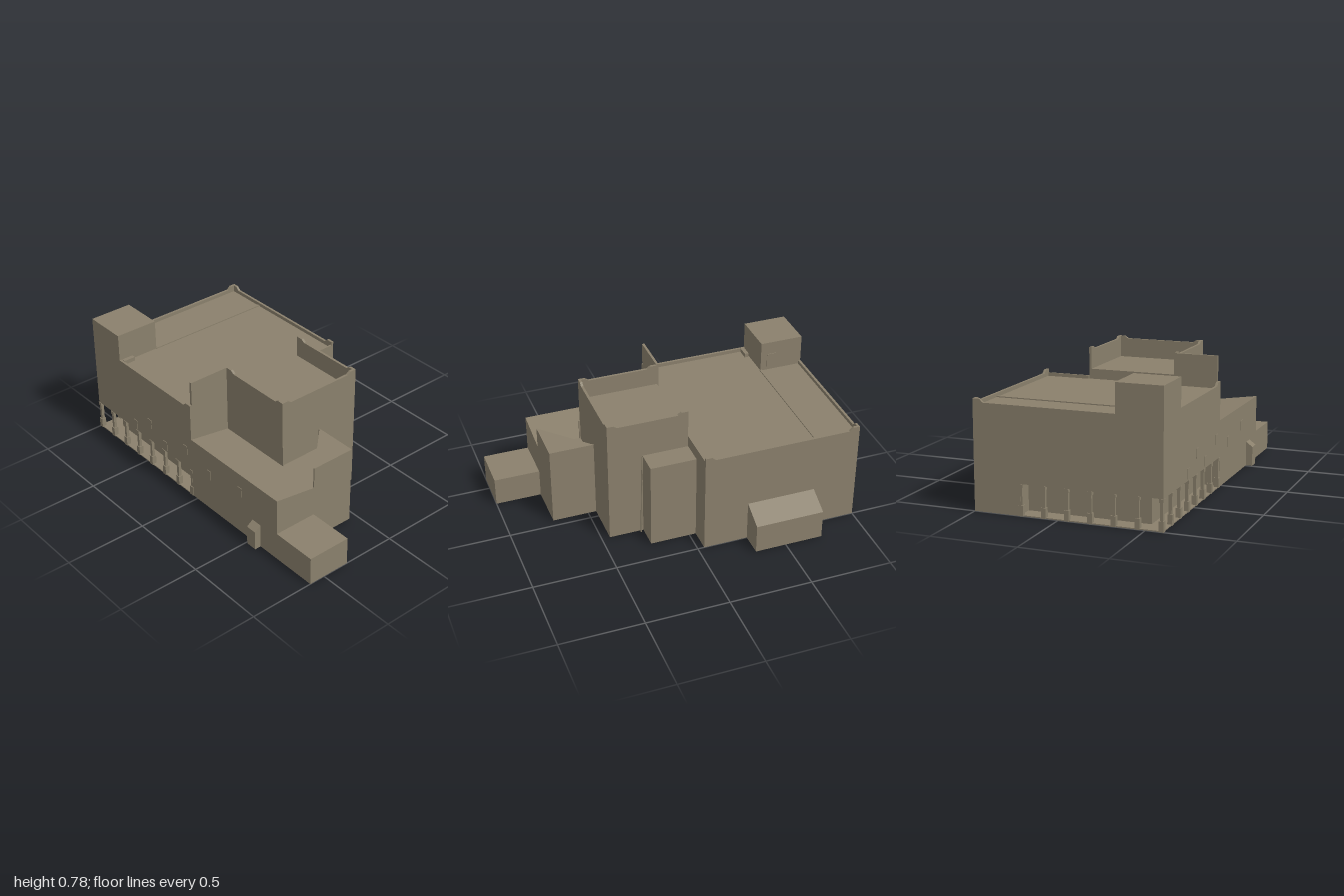
import * as THREE from 'three';

export function createModel() {
  const group = new THREE.Group();
  const stone = new THREE.MeshStandardMaterial({ color: 0x8a806c, side: THREE.DoubleSide });
  stone.name = 'stone';

  const add = (name, geometry) => {
    const mesh = new THREE.Mesh(geometry, stone);
    mesh.name = name;
    group.add(mesh);
    return mesh;
  };

  // Solid block between two corners
  const block = (name, x0, x1, y0, y1, z0, z1) =>
    add(name, new THREE.BoxGeometry(x1 - x0, y1 - y0, z1 - z0)
      .translate((x0 + x1) / 2, (y0 + y1) / 2, (z0 + z1) / 2));

  // Hollow block open below, its top sloping from yA at x0 to yB at x1
  const shell = (name, x0, x1, yA, yB, z0, z1) => {
    const g = new THREE.BoxGeometry(x1 - x0, 1, z1 - z0);
    const index = Array.from(g.index.array);
    index.splice(18, 6);
    g.setIndex(index);
    g.clearGroups();
    const p = g.attributes.position;
    for (let i = 0; i < p.count; i++) {
      p.setY(i, p.getY(i) < 0 ? 0 : p.getX(i) < 0 ? yA : yB);
    }
    g.translate((x0 + x1) / 2, 0, (z0 + z1) / 2);
    g.computeVertexNormals();
    return add(name, g);
  };

  // Thin wall with raised, chamfered ends; runs along x, or along z when alongZ
  const parapet = (name, a, b, y0, y1, peak, at, alongZ, endA = true, endB = true) => {
    const t = 0.015, w = 0.04, c = 0.022;
    const pts = [[a, y0], [b, y0]];
    if (endB) pts.push([b, peak], [b - w, peak], [b - w - c, y1]);
    else pts.push([b, y1]);
    if (endA) pts.push([a + w + c, y1], [a + w, peak], [a, peak]);
    else pts.push([a, y1]);
    const shape = new THREE.Shape(pts.map(([x, y]) => new THREE.Vector2(x, y)));
    const g = new THREE.ExtrudeGeometry(shape, { depth: t, bevelEnabled: false });
    g.translate(0, 0, -t / 2);
    if (alongZ) g.rotateY(-Math.PI / 2).translate(at, 0, 0);
    else g.translate(0, 0, at);
    return add(name, g);
  };

  // Main hall: upper storey over a recessed ground floor
  block('mainHall', -0.6, 0.5, 0.18, 0.59, -1, -0.04);
  block('groundFloor', -0.5, 0.5, 0, 0.18, -0.9, -0.04);
  block('groundFloorCorner', 0.22, 0.5, 0, 0.18, -1, -0.9);
  block('arcadeFloor', -0.6, 0.5, 0, 0.006, -1, -0.04);
  block('roofStep', -0.33, 0.485, 0.59, 0.596, -0.74, -0.725);
  block('roofBox', -0.585, -0.51, 0.59, 0.615, -0.725, -0.7);

  // Main roof parapets
  parapet('rightParapet', -1, -0.04, 0.585, 0.612, 0.632, 0.4925, true);
  parapet('backParapet', -0.33, 0.5, 0.585, 0.612, 0.632, -0.9925, false, false, true);
  parapet('sideParapet', -0.73, -0.04, 0.585, 0.612, 0.632, -0.5925, true, false, true);
  block('frontParapet', 0.22, 0.5, 0.585, 0.61, -0.05, -0.04);

  // Arcade columns along the back and the -x side
  const column = (x, z) => {
    block('columnBase', x - 0.014, x + 0.014, 0, 0.06, z - 0.014, z + 0.014);
    block('columnShaft', x - 0.009, x + 0.009, 0.06, 0.16, z - 0.009, z + 0.009);
    block('columnCap', x - 0.013, x + 0.013, 0.16, 0.18, z - 0.013, z + 0.013);
  };
  for (let i = 0; i < 7; i++) column(-0.59 + i * 0.135, -0.99);
  for (let i = 1; i < 8; i++) column(-0.59, -0.99 + i * 0.134);

  // Corner turret with its roof door
  block('cornerTurret', -0.6, -0.33, 0.59, 0.78, -1, -0.73);
  block('turretDoor', -0.33, -0.326, 0.6, 0.7, -0.83, -0.77);

  // Front tower and its parapet
  shell('frontTower', -0.33, 0.22, 0.65, 0.65, -0.04, 0.45);
  parapet('towerFrontParapet', -0.33, 0.22, 0.65, 0.765, 0.78, 0.4425, false);
  parapet('towerRightParapet', -0.04, 0.45, 0.65, 0.765, 0.78, 0.2125, true);
  parapet('towerLeftParapet', -0.04, 0.45, 0.65, 0.765, 0.78, -0.3225, true);
  block('screenWall', -0.585, -0.33, 0.59, 0.78, -0.055, -0.04);

  // Long side wing, low porch and buttress
  shell('sideWing', -0.6, -0.33, 0.4, 0.36, -0.04, 0.72);
  shell('lowPorch', -0.6, -0.33, 0.175, 0.175, 0.72, 1);
  shell('buttress', -0.64, -0.6, 0.12, 0.15, 0.51, 0.58);

  // Front bay: terrace walls and a half roof over the outer corner
  shell('frontBay', -0.33, -0.05, 0.36, 0.36, 0.45, 0.72);
  block('bayFrontWall', -0.33, -0.05, 0.36, 0.49, 0.712, 0.72);
  block('bayRightWall', -0.058, -0.05, 0.36, 0.49, 0.45, 0.72);
  block('bayPost', -0.33, -0.322, 0.36, 0.49, 0.45, 0.458);
  const half = new THREE.Shape([
    new THREE.Vector2(-0.33, 0.72), new THREE.Vector2(-0.05, 0.72), new THREE.Vector2(-0.05, 0.45)]);
  add('bayHalfRoof', new THREE.ExtrudeGeometry(half, { depth: 0.004, bevelEnabled: false })
    .rotateX(Math.PI / 2).translate(0, 0.491, 0));

  // Right annexes
  shell('tallAnnex', 0.22, 0.36, 0.54, 0.54, -0.04, 0.24);
  shell('leanTo', 0.5, 0.64, 0.25, 0.18, -0.73, -0.31);

  // Crooked drainpipe
  const path = [];
  for (let i = 0; i <= 8; i++) {
    path.push(new THREE.Vector3(0.232 + (i % 2) * 0.003, i * 0.068, 0.258 - i * 0.0015));
  }
  add('drainpipe', new THREE.TubeGeometry(new THREE.CatmullRomCurve3(path), 24, 0.005, 6));

  // Small windows on the side wall
  for (const [y, z] of [[0.3, -0.45], [0.3, -0.1], [0.24, 0.12], [0.28, 0.4], [0.22, -0.6], [0.22, -0.3]]) {
    block('sideWindow', -0.603, -0.6, y - 0.03, y + 0.03, z - 0.018, z + 0.018);
  }
  return group;
}
